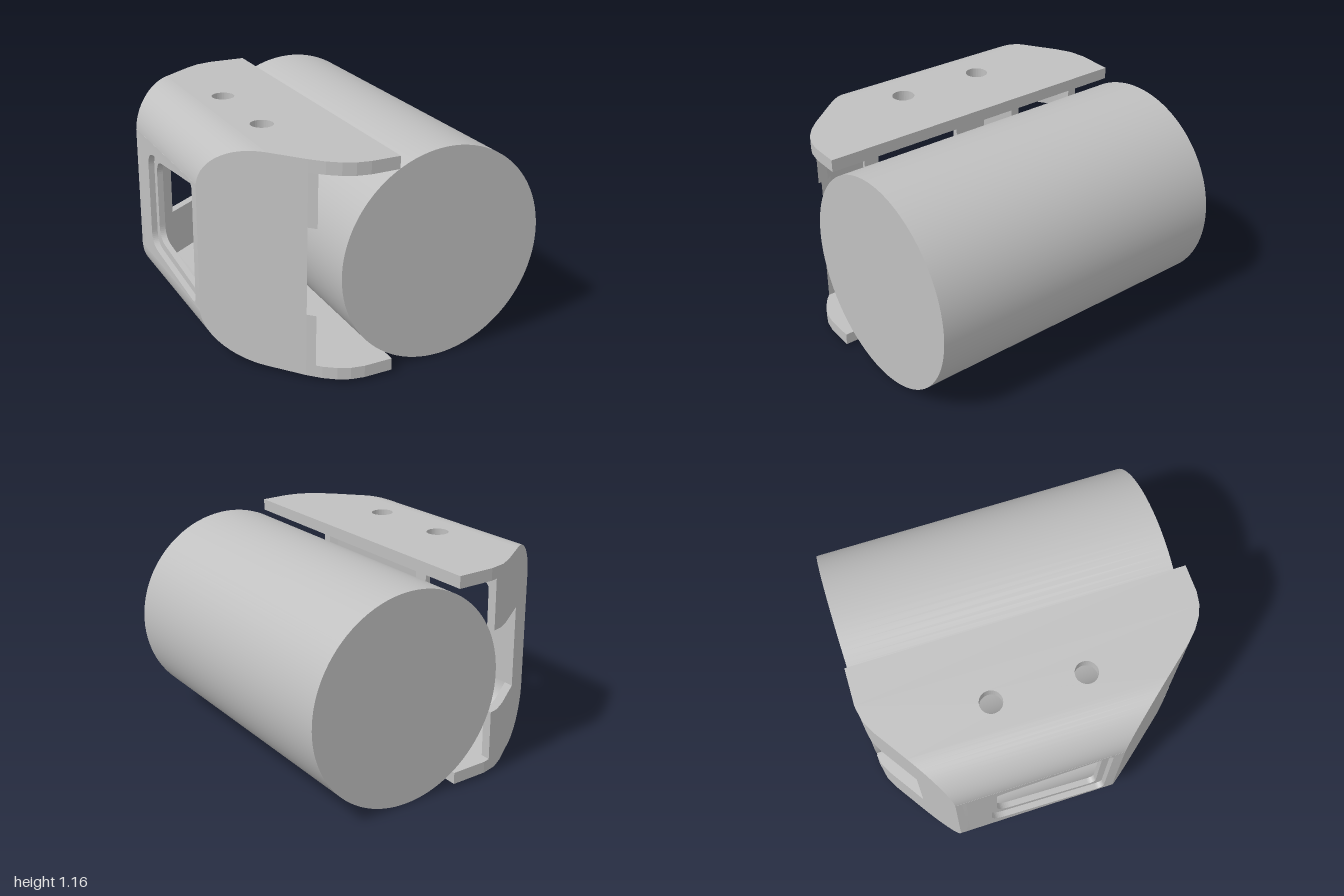
import * as THREE from 'three';
import { toCreasedNormals } from 'three/addons/utils/BufferGeometryUtils.js';

const U0 = -1.075, U1 = -0.297;   // bracket side wall and open edge
const H = 0.57, T = 0.065, R = 0.24; // half height, sheet thickness, bend radius

// plan outline of the bracket: [across, along] for each end
const FRONT = [[U0, 0.326], [-0.7, 0.775], [-0.64, 0.835], [-0.58, 0.878], [-0.52, 0.905], [-0.45, 0.918], [U1, 0.918]];
const BACK = [[U0, -0.562], [-0.665, -0.833], [-0.59, -0.872], [-0.5, -0.89], [U1, -0.886]];

function along(pts, u) {
  for (let i = 1; i < pts.length; i++) {
    const [a, b] = [pts[i - 1], pts[i]];
    if (u <= b[0]) return a[1] + (b[1] - a[1]) * (u - a[0]) / (b[0] - a[0]);
  }
  return pts[pts.length - 1][1];
}

// half height of the rounded profile at u
function halfHeight(u) {
  const d = Math.max(0, R - (u - U0));
  return H - R + Math.sqrt(Math.max(0, R * R - d * d));
}

// closed solid through four-cornered rings
function loft(rings) {
  const pos = [];
  const quad = (a, b, c, d) => pos.push(...a, ...b, ...c, ...a, ...c, ...d);
  for (let i = 1; i < rings.length; i++) {
    for (let k = 0; k < 4; k++) {
      const n = (k + 1) % 4;
      quad(rings[i - 1][k], rings[i - 1][n], rings[i][n], rings[i][k]);
    }
  }
  const last = rings[rings.length - 1];
  quad(rings[0][3], rings[0][2], rings[0][1], rings[0][0]);
  quad(last[0], last[1], last[2], last[3]);
  const g = new THREE.BufferGeometry();
  g.setAttribute('position', new THREE.Float32BufferAttribute(pos, 3));
  return toCreasedNormals(g, 0.5);
}

// end wall strip between u = from and u = to, lying between lo(u) and hi(u)
function endWall(outline, from, to, lo, hi) {
  const us = [from, to];
  for (let i = 1; i <= 12; i++) us.push(U0 + R * (1 - Math.cos(i / 12 * Math.PI / 2)));
  outline.forEach(p => us.push(p[0]));
  const list = [...new Set(us)].filter(u => u >= from && u <= to).sort((a, b) => a - b);
  return loft(list.map(u => {
    const w = along(outline, u), v = w - Math.sign(w) * 0.055;
    return [[u, lo(u), w], [u, hi(u), w], [u, hi(u), v], [u, lo(u), v]];
  }));
}

// rounded window outline, taller towards the front
function windowPath(inset) {
  const b = -0.38 + inset, f = 0.27 - inset, hb = 0.27 - inset, hf = 0.33 - inset, r = 0.08;
  const p = new THREE.Path();
  p.moveTo(b, -hb + r);
  p.lineTo(b, hb - r);
  p.quadraticCurveTo(b, hb, b + r, hb + 0.01);
  p.lineTo(f - r / 2, hf);
  p.quadraticCurveTo(f, hf, f, hf - r / 2);
  p.lineTo(f, -hf + r / 2);
  p.quadraticCurveTo(f, -hf, f - r / 2, -hf);
  p.lineTo(b + r, -hb - 0.01);
  p.quadraticCurveTo(b, -hb, b, -hb + r);
  return p;
}

export function createModel() {
  const model = new THREE.Group();
  const grey = new THREE.MeshStandardMaterial({ color: 0xc0c0c0, side: THREE.DoubleSide });
  grey.name = 'light grey';
  const add = (parent, name, geometry) => {
    const m = new THREE.Mesh(geometry, grey);
    m.name = name;
    parent.add(m);
    return m;
  };

  const body = new THREE.Group();
  body.name = 'turnedAssembly';
  body.position.set(0.207, 0, -0.013);
  body.rotation.y = 0.2449;
  model.add(body);

  // solid drum
  const drum = add(body, 'drum', new THREE.CylinderGeometry(0.568, 0.568, 1.752, 96));
  drum.rotation.x = Math.PI / 2;
  drum.position.y = 0.568;

  // bracket, leaning slightly
  const lean = new THREE.Group();
  lean.name = 'bracket';
  lean.position.set(-0.85, 0.593, 0);
  lean.rotation.z = -0.015;
  body.add(lean);
  const bracket = new THREE.Group();
  bracket.name = 'bracketShell';
  bracket.position.x = 0.85;
  lean.add(bracket);

  // flat plates with two bolt holes
  const uc = U0 + R;
  const edge = [
    [uc, along(FRONT, uc)], ...FRONT.filter(p => p[0] > uc),
    ...BACK.filter(p => p[0] > uc).reverse(), [uc, along(BACK, uc)],
  ];
  const plate = new THREE.Shape(edge.map(([u, w]) => new THREE.Vector2(u, -w)));
  for (const w of [-0.251, 0.244]) {
    plate.holes.push(new THREE.Path().absarc(-0.687, -w, 0.06, 0, Math.PI * 2, true));
  }
  const plateGeometry = new THREE.ExtrudeGeometry(plate, { depth: T, bevelEnabled: false, curveSegments: 20 });
  for (const s of [1, -1]) {
    const side = s > 0 ? 'upper' : 'lower';
    const p = add(bracket, side + 'Plate', plateGeometry);
    p.rotation.x = -Math.PI / 2;
    p.position.y = s > 0 ? H - T : -H;

    // rounded bend between plate and side wall
    const rings = [];
    for (let i = 0; i <= 16; i++) {
      const a = i / 16 * Math.PI / 2;
      const at = r => [uc - r * Math.cos(a), s * (H - R + r * Math.sin(a))];
      const [uo, yo] = at(R), [ui, yi] = at(R - T);
      rings.push([
        [uo, yo, along(FRONT, uo)], [uo, yo, along(BACK, uo)],
        [ui, yi, along(BACK, ui)], [ui, yi, along(FRONT, ui)],
      ]);
    }
    add(bracket, side + 'Bend', loft(rings));
  }

  // side wall in two layers, giving the window a stepped rim
  [0, 0.04].forEach((inset, i) => {
    const h = H - R + 0.015;
    const wall = new THREE.Shape([[-0.562, -h], [0.326, -h], [0.326, h], [-0.562, h]].map(p => new THREE.Vector2(...p)));
    wall.holes.push(windowPath(inset));
    const m = add(bracket, i ? 'innerSideWall' : 'outerSideWall',
      new THREE.ExtrudeGeometry(wall, { depth: T / 2, bevelEnabled: false }));
    m.rotation.y = -Math.PI / 2;
    m.position.x = U0 + T / 2 * (i + 1);
  });

  // slanted end walls, notched at mid height
  const top = u => halfHeight(u) - 0.002, bottom = u => -top(u);
  for (const [name, outline, notch, end] of [['front', FRONT, -0.7, -0.665], ['back', BACK, -0.857, -0.54]]) {
    add(bracket, name + 'Wall', endWall(outline, U0, notch, bottom, top));
    add(bracket, name + 'UpperTab', endWall(outline, notch, end, () => 0.23, top));
    add(bracket, name + 'LowerTab', endWall(outline, notch, end, bottom, () => -0.23));
  }
  return model;
}
